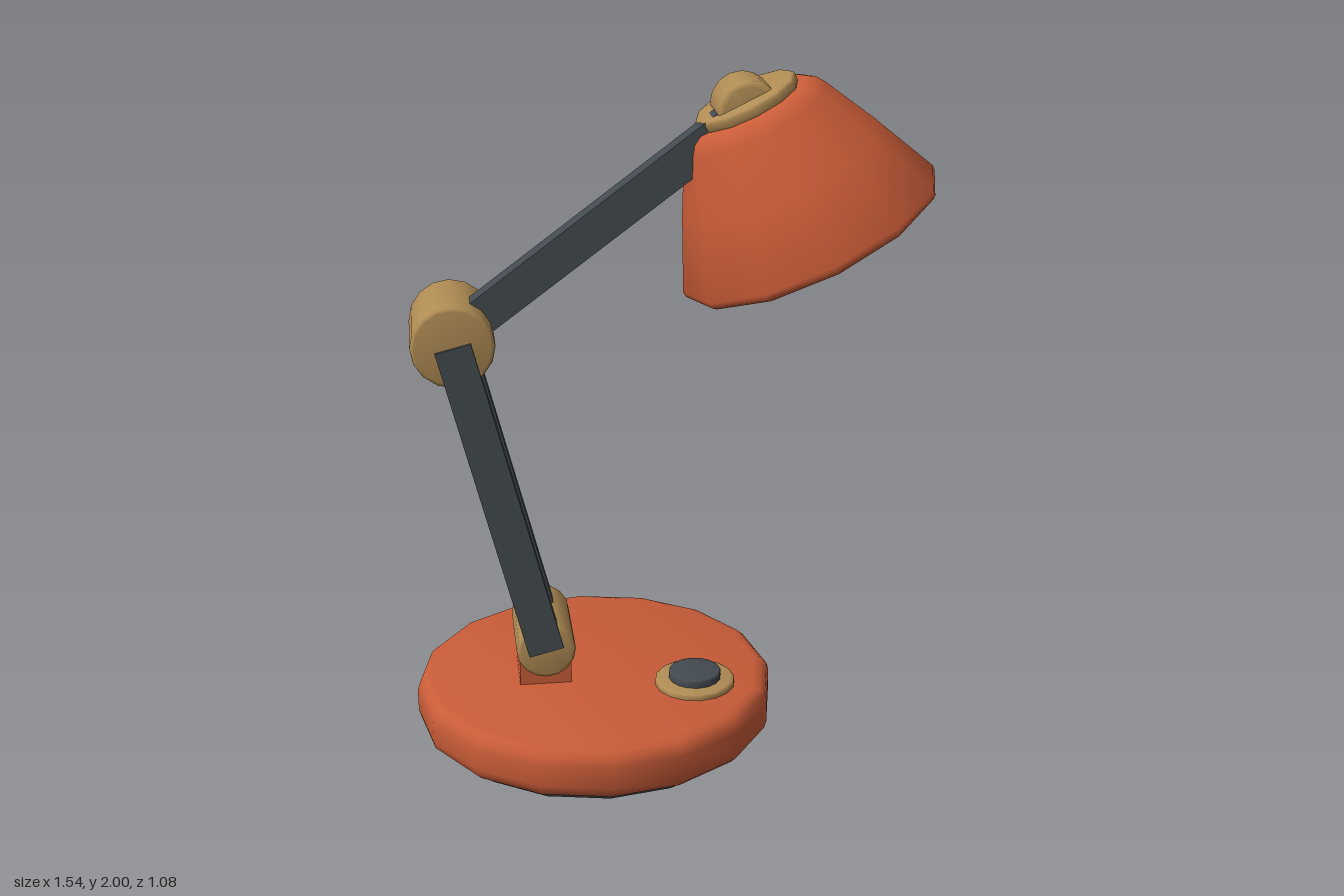
import * as THREE from 'three';
import { toCreasedNormals } from 'three/addons/utils/BufferGeometryUtils.js';

export function createModel() {
  const model = new THREE.Group();
  model.name = 'deskLamp';

  const mat = (name, color, side = THREE.FrontSide) => {
    const m = new THREE.MeshStandardMaterial({ color, side });
    m.name = name;
    return m;
  };
  const red = mat('terracottaRed', 0xc95c38);
  const brass = mat('brass', 0xb08c54);
  const dark = mat('darkGrey', 0x444b50);
  const cream = mat('creamLining', 0xe2d7b9);
  const white = mat('bulbWhite', 0xe2ded4);

  const add = (parent, name, geometry, material, x = 0, y = 0, z = 0) => {
    const mesh = new THREE.Mesh(geometry, material);
    mesh.name = name;
    mesh.position.set(x, y, z);
    parent.add(mesh);
    return mesh;
  };
  // Revolve a bottom-to-top profile, keeping sharp edges sharp
  const turned = (profile, sides, crease = 0.65) => toCreasedNormals(
    new THREE.LatheGeometry(profile.map(([r, y]) => new THREE.Vector2(r, y)), sides), crease);
  // Disc from y = 0 to h with rounded rims
  const disc = (r, h, bevel, sides) => {
    const profile = [[0, 0]];
    for (let i = 0; i <= 3; i++) {
      const a = (i / 3) * Math.PI / 2;
      profile.push([r - bevel + bevel * Math.sin(a), bevel - bevel * Math.cos(a)]);
    }
    for (let i = 0; i <= 3; i++) {
      const a = (i / 3) * Math.PI / 2;
      profile.push([r - bevel + bevel * Math.cos(a), h - bevel + bevel * Math.sin(a)]);
    }
    profile.push([0, h]);
    return turned(profile, sides);
  };
  // Rounded barrel lying along z
  const joint = (name, [x, y], r, length, bevel, sides) => {
    const g = disc(r, length, bevel, sides);
    g.translate(0, -length / 2, 0);
    g.rotateX(Math.PI / 2);
    return add(model, name, g, brass, x, y, 0);
  };
  // Flat bar between two points in the x-y plane
  const bar = (name, [x1, y1], [x2, y2], z) => {
    const length = Math.hypot(x2 - x1, y2 - y1);
    const mesh = add(model, name, new THREE.BoxGeometry(length, 0.105, 0.066), dark,
      (x1 + x2) / 2, (y1 + y2) / 2, z);
    mesh.rotation.z = Math.atan2(y2 - y1, x2 - x1);
  };

  // Base, foot pad and stem
  const baseX = -0.23;
  add(model, 'footPad', turned([[0, 0], [0.47, 0], [0.49, 0.035], [0, 0.035]], 16), dark, baseX);
  add(model, 'base', disc(0.54, 0.155, 0.045, 16), red, baseX, 0.028);
  add(model, 'stem', new THREE.BoxGeometry(0.155, 0.11, 0.18), red, -0.385, 0.218);

  // Switch
  add(model, 'switchRing', disc(0.12, 0.03, 0.008, 16), brass, 0.06, 0.172, 0.138);
  add(model, 'switchButton', disc(0.078, 0.045, 0.006, 16), dark, 0.06, 0.182, 0.138);

  // Joints
  const hip = [-0.385, 0.318], elbow = [-0.627, 1.273], neck = [0.215, 1.9];
  joint('lowerJoint', hip, 0.088, 0.29, 0.012, 16);
  joint('elbowJoint', elbow, 0.12, 0.29, 0.012, 16);
  joint('neckJoint', neck, 0.09, 0.183, 0.015, 16);

  // Arms: a pair below, a single bar above
  const armZ = 0.037;
  for (const s of [1, -1]) bar('lowerArm', hip, elbow, armZ + s * 0.085);
  bar('upperArm', elbow, neck, armZ);

  // Head, built upright around its opening centre and then tilted
  const head = new THREE.Group();
  head.name = 'head';
  head.position.set(0.405, 1.533, 0);
  head.rotation.z = 0.454;
  model.add(head);

  add(head, 'shade', turned([
    [0.368, 0], [0.374, -0.012], [0.388, -0.014], [0.399, -0.004], [0.4, 0.012],
    [0.305, 0.215], [0.222, 0.375], [0.205, 0.4], [0.18, 0.415], [0, 0.415],
  ], 12, 0.8), red);
  const lining = turned([[0, 0.375], [0.19, 0.375], [0.368, 0]], 12, 0.65);
  add(head, 'shadeLining', lining, cream);
  add(head, 'cap', disc(0.155, 0.042, 0.014, 12), brass, 0, 0.406);
  add(head, 'bulbSocket', new THREE.CylinderGeometry(0.07, 0.07, 0.16, 12), brass, 0, 0.31);
  add(head, 'bulb', new THREE.SphereGeometry(0.132, 20, 14), white, 0, 0.147);

  return model;
}
